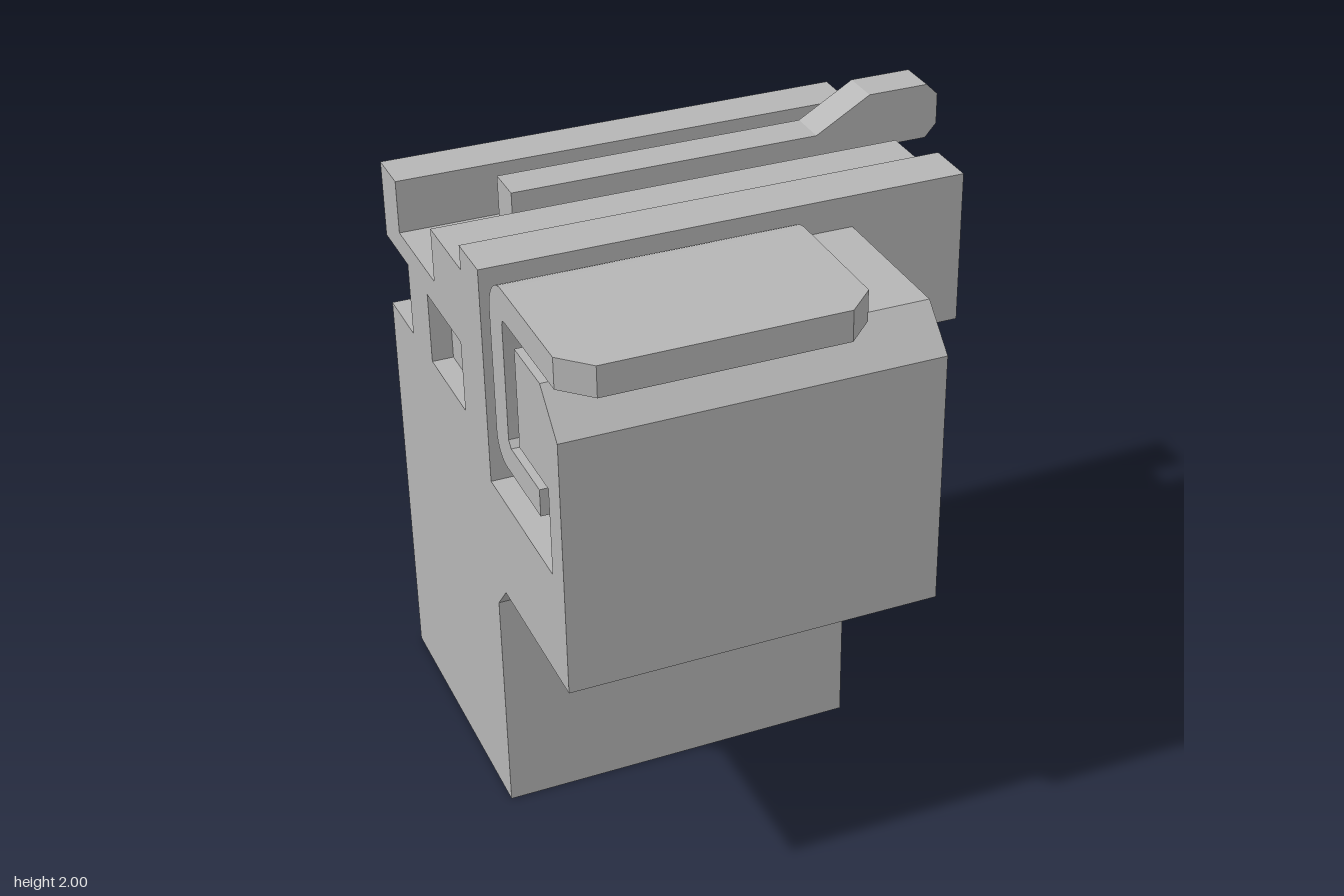
import * as THREE from 'three';
import { toCreasedNormals } from 'three/addons/utils/BufferGeometryUtils.js';

export function createModel() {
  const model = new THREE.Group();
  model.name = 'connectorHousing';
  const grey = new THREE.MeshStandardMaterial({ color: 0xb5b5b5 });
  grey.name = 'grey';

  const add = (name, geometry) => {
    const mesh = new THREE.Mesh(geometry, grey);
    mesh.name = name;
    model.add(mesh);
    return mesh;
  };

  const extrude = (points, depth) => new THREE.ExtrudeGeometry(
    new THREE.Shape(points.map(([a, b]) => new THREE.Vector2(a, b))),
    { depth, bevelEnabled: false });

  // Prism along x from [z, y] points, along y from [x, z], along z from [x, y]
  const prismX = (pts, x0, x1) =>
    extrude(pts.map(([z, y]) => [-z, y]), x1 - x0).rotateY(Math.PI / 2).translate(x0, 0, 0);
  const prismY = (pts, y0, y1) =>
    extrude(pts.map(([x, z]) => [x, -z]), y1 - y0).rotateX(-Math.PI / 2).translate(0, y0, 0);
  const prismZ = (pts, z0, z1) => extrude(pts, z1 - z0).translate(0, 0, z0);
  const box = (x0, x1, y0, y1, z0, z1) =>
    new THREE.BoxGeometry(x1 - x0, y1 - y0, z1 - z0)
      .translate((x0 + x1) / 2, (y0 + y1) / 2, (z0 + z1) / 2);

  // Header block with stepped top and contact slot
  const headerTop = [
    [0.13, 1.96], [-0.04, 1.96], [-0.04, 1.88], [-0.33, 1.88], [-0.33, 1.7],
    [-0.69, 1.7], [-0.69, 1.88], [-0.85, 1.88],
  ];
  add('header', prismX([[0.13, 1.45], ...headerTop, [-0.85, 1.45]], -0.83, 0.68));

  // Outer skin of the header, notched to leave two shallow pockets
  add('headerSide', prismX([
    [0.13, 1.37], ...headerTop, [-0.85, 1.62], [-0.62, 1.62], [-0.62, 1.37],
    [-0.42, 1.37], [-0.42, 1.61], [-0.09, 1.61], [-0.09, 1.37],
  ], -0.9, -0.83));

  // Side wall with chamfered inner foot
  add('sideWall', prismZ([
    [-0.9, 0], [-0.86, 0], [-0.73, 0.13], [-0.73, 1.45],
    [-0.83, 1.45], [-0.83, 1.37], [-0.9, 1.37],
  ], -0.85, 0.13));

  // Front wall: chamfered thick sections either side of a groove
  for (const [x0, x1, top] of [[-0.86, -0.73, 0.3], [-0.73, -0.38, 1.45], [-0.05, 0.3, 1.45]]) {
    add('frontWall', prismX(
      [[0.13, 0], [0.13, top], [-0.13, top], [-0.13, 0.13], [0, 0]], x0, x1));
  }
  add('grooveWall', box(-0.38, -0.05, 0, 1.45, 0, 0.13));
  add('cornerRib', box(0.3, 0.55, 0.43, 1.45, -0.28, 0.13));

  // Front hood: slotted part for the clip, then a solid end
  const hoodFront = [
    [0.13, 0.79], [0.21, 0.88], [0.765, 0.88], [0.765, 1.73], [0.64, 1.855],
  ];
  add('hoodSlotted', prismX([
    ...hoodFront, [0.43, 1.855], [0.43, 1.53], [0.67, 1.53], [0.67, 1.24], [0.13, 1.24],
  ], -0.9, 0.04));
  add('hoodEnd', prismX([...hoodFront, [0.13, 1.855]], 0.04, 0.3));

  // Bent spring clip, with smooth bends
  const arc = (z, y, r, from, to, n = 10) => Array.from({ length: n + 1 }, (_, i) => {
    const a = THREE.MathUtils.degToRad(from + (to - from) * i / n);
    return [z + r * Math.cos(a), y + r * Math.sin(a)];
  });
  const clip = prismX([
    [0.76, 2], ...arc(0.34, 1.88, 0.12, 90, 180), ...arc(0.3, 1.47, 0.08, 180, 270),
    [0.59, 1.39], [0.59, 1.48], [0.35, 1.48], [0.33, 1.5],
    ...arc(0.35, 1.88, 0.02, 180, 90, 4), [0.76, 1.9],
  ], -0.9, 0.04);
  add('clip', toCreasedNormals(clip, 0.6));
  add('clipTip', prismY(
    [[-0.9, 0.76], [-0.81, 0.85], [-0.05, 0.85], [0.04, 0.76]], 1.9, 2));

  // Contact bar lying in the slot, cranked up to its tail
  add('contactBar', prismZ([
    [-0.6, 1.7], [0.47, 1.7], [0.67, 1.81], [0.85, 1.81], [0.89, 1.855],
    [0.89, 1.96], [0.85, 2], [0.64, 2], [0.45, 1.89], [-0.6, 1.89],
  ], -0.58, -0.445));

  // Contact blade with tapered tip
  add('contactBlade', box(-0.59, -0.25, 0.7, 1.72, -0.58, -0.445));
  const tip = new THREE.BoxGeometry(0.34, 0.21, 0.135);
  const p = tip.attributes.position;
  for (let i = 0; i < p.count; i++) {
    if (p.getY(i) < 0) p.setXYZ(i, p.getX(i) * 0.75, p.getY(i), p.getZ(i) * 0.34);
  }
  const flatTip = tip.toNonIndexed();
  flatTip.computeVertexNormals();
  add('bladeTip', flatTip.translate(-0.42, 0.595, -0.5125));

  return model;
}
